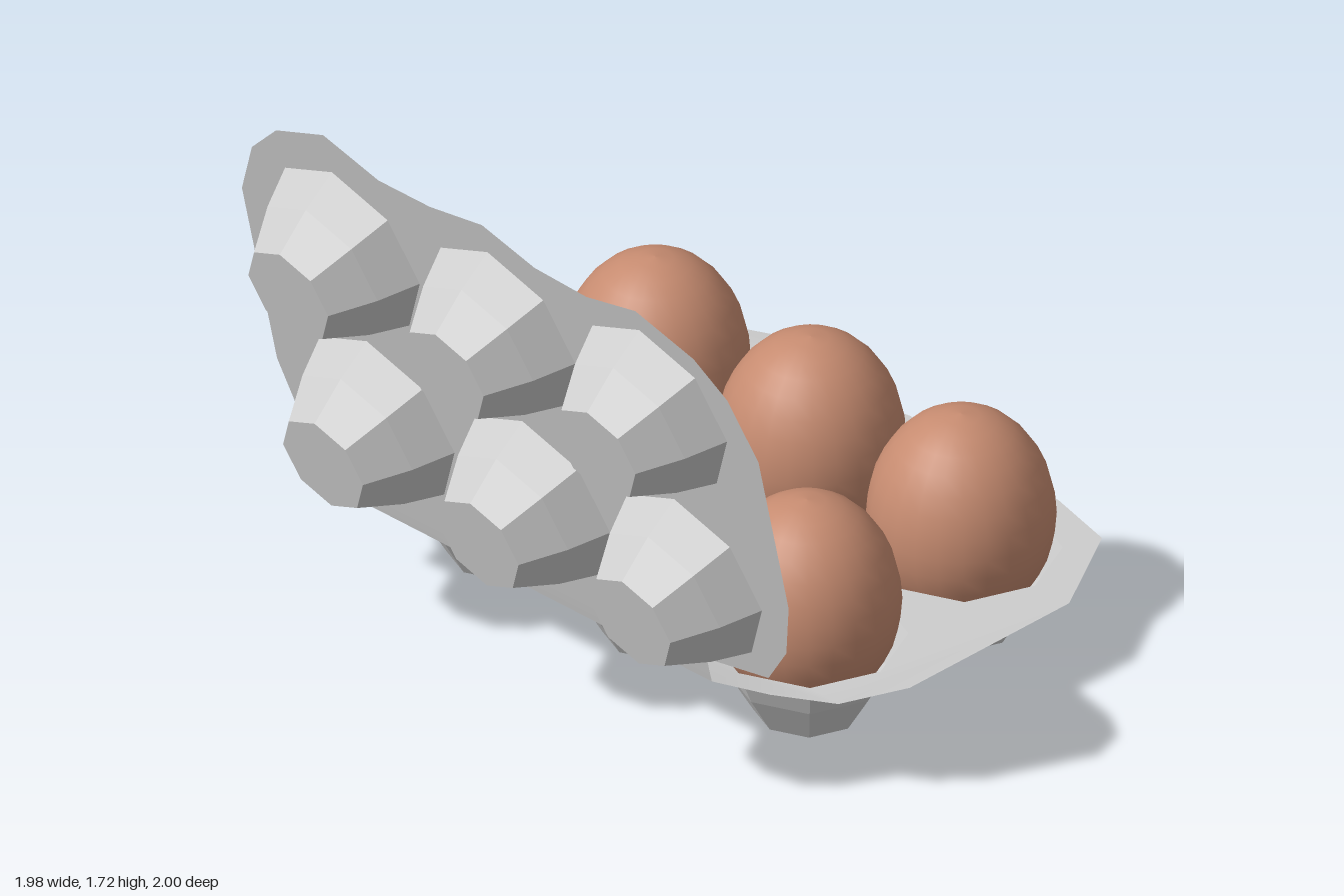
import * as THREE from 'three';

const cardboard = new THREE.MeshStandardMaterial({ color: 0xcdcdcd, side: THREE.DoubleSide });
cardboard.name = 'grey cardboard';
const shell = new THREE.MeshStandardMaterial({ color: 0xc68b70 });
shell.name = 'brown eggshell';

const CUP_R = 0.282;

function add(group, geometry, material, name) {
  const mesh = new THREE.Mesh(geometry, material);
  mesh.name = name;
  group.add(mesh);
  return mesh;
}

// Flat sheet in x/z with octagonal openings; lift(x, z) gives its gentle warp
function sheetGeometry(outline, cups, lift) {
  const shape = new THREE.Shape(outline.map(([x, z]) => new THREE.Vector2(x, z)));
  for (const [cx, cz] of cups) {
    const hole = [];
    for (let i = 0; i < 8; i++) {
      const a = -i * Math.PI / 4;
      hole.push(new THREE.Vector2(cx + CUP_R * Math.cos(a), cz + CUP_R * Math.sin(a)));
    }
    shape.holes.push(new THREE.Path(hole));
  }
  const g = new THREE.ShapeGeometry(shape);
  g.rotateX(Math.PI / 2);
  const p = g.attributes.position;
  for (let i = 0; i < p.count; i++) p.setY(i, lift(p.getX(i), p.getZ(i)));
  g.computeVertexNormals();
  return g;
}

// Faceted eight-sided cup hanging below the sheet
function cupGeometry() {
  const profile = [[0, -0.245], [0.155, -0.245], [0.23, -0.12], [CUP_R, 0]];
  const g = new THREE.LatheGeometry(profile.map(([r, y]) => new THREE.Vector2(r, y)), 8).toNonIndexed();
  g.computeVertexNormals();
  return g;
}

function panel(name, outline, cups, lift) {
  const group = new THREE.Group();
  group.name = name;
  add(group, sheetGeometry(outline, cups, lift), cardboard, name + 'Sheet');
  const cup = cupGeometry();
  for (const [x, z] of cups) add(group, cup, cardboard, name + 'Cup').position.set(x, 0, z);
  return group;
}

// Egg: blunter lower half, taller upper half
function eggGeometry() {
  const pts = [];
  for (let i = 0; i <= 16; i++) {
    const a = -Math.PI / 2 + Math.PI * i / 16;
    pts.push(new THREE.Vector2(Math.max(0, 0.268 * Math.cos(a)), (a < 0 ? 0.315 : 0.33) * Math.sin(a)));
  }
  return new THREE.LatheGeometry(pts, 24);
}

// Curved strip joining tray and lid: rows of [x, y, zBack, zFront]
function hingeGeometry(rows) {
  const pos = [], index = [];
  rows.forEach(([x, y, z0, z1], i) => {
    pos.push(x, y, z0, x, y, z1);
    if (i) {
      const a = 2 * i - 2;
      index.push(a, a + 1, a + 2, a + 1, a + 3, a + 2);
    }
  });
  const g = new THREE.BufferGeometry();
  g.setAttribute('position', new THREE.Float32BufferAttribute(pos, 3));
  g.setIndex(index);
  g.computeVertexNormals();
  return g;
}

export function createModel() {
  const model = new THREE.Group();
  model.name = 'eggCarton';
  const rowsZ = [-0.605, 0, 0.585];

  // Tray
  const trayCups = [-0.075, 0.55].flatMap(x => rowsZ.map(z => [x, z]));
  const trayOutline = [
    [-0.48, -0.81], [-0.38, -0.81], [-0.25, -0.93], [-0.05, -1], [0.58, -0.99], [0.8, -0.92],
    [0.9, -0.78], [0.99, -0.58], [0.91, -0.38], [0.92, -0.2], [0.95, 0], [0.88, 0.22],
    [0.9, 0.4], [0.92, 0.6], [0.86, 0.83], [0.55, 1], [-0.08, 0.985], [-0.28, 0.9],
    [-0.4, 0.75], [-0.48, 0.6],
  ];
  const tray = panel('tray', trayOutline, trayCups, (x, z) =>
    x < -0.45 ? 0.035 : x < -0.37 ? 0.02 : z < -0.92 ? 0.02 : 0);
  tray.position.y = 0.25;
  model.add(tray);

  // Lid, leaning back; heights are turned into distances along its slope
  const tilt = Math.atan2(0.975, 0.22);
  const along = ([z, y]) => [-(y - 0.37) / Math.sin(tilt), z];
  const lidOutline = [
    [0.6, 0.37], [0.85, 0.42], [0.95, 0.56], [1, 0.75], [1, 1.29], [0.92, 1.48], [0.81, 1.58],
    [0.6, 1.655], [0.4, 1.61], [0.2, 1.62], [0.01, 1.685], [-0.2, 1.65], [-0.4, 1.65],
    [-0.6, 1.72], [-0.8, 1.64], [-0.92, 1.52], [-1, 1.33], [-1, 0.7], [-0.95, 0.52],
    [-0.87, 0.42], [-0.75, 0.37],
  ].map(along);
  const lidCups = [0.685, 1.31].flatMap(y => [0.6, 0.01, -0.595].map(z => along([z, y])));
  const lid = panel('lid', lidOutline, lidCups, () => 0);
  lid.position.set(-0.5, 0.37, 0);
  lid.rotation.z = -tilt;
  model.add(lid);

  // Hinge
  add(model, hingeGeometry([
    [-0.5, 0.37, -0.75, 0.6], [-0.49, 0.325, -0.79, 0.6], [-0.48, 0.285, -0.81, 0.6],
  ]), cardboard, 'hinge');

  // Eggs
  const egg = eggGeometry();
  for (const [x, z] of trayCups) add(model, egg, shell, 'egg').position.set(x - 0.005, 0.37, z);

  // Rest the cup bottoms on the ground
  model.children.forEach(part => { part.position.y -= 0.005; });
  return model;
}
